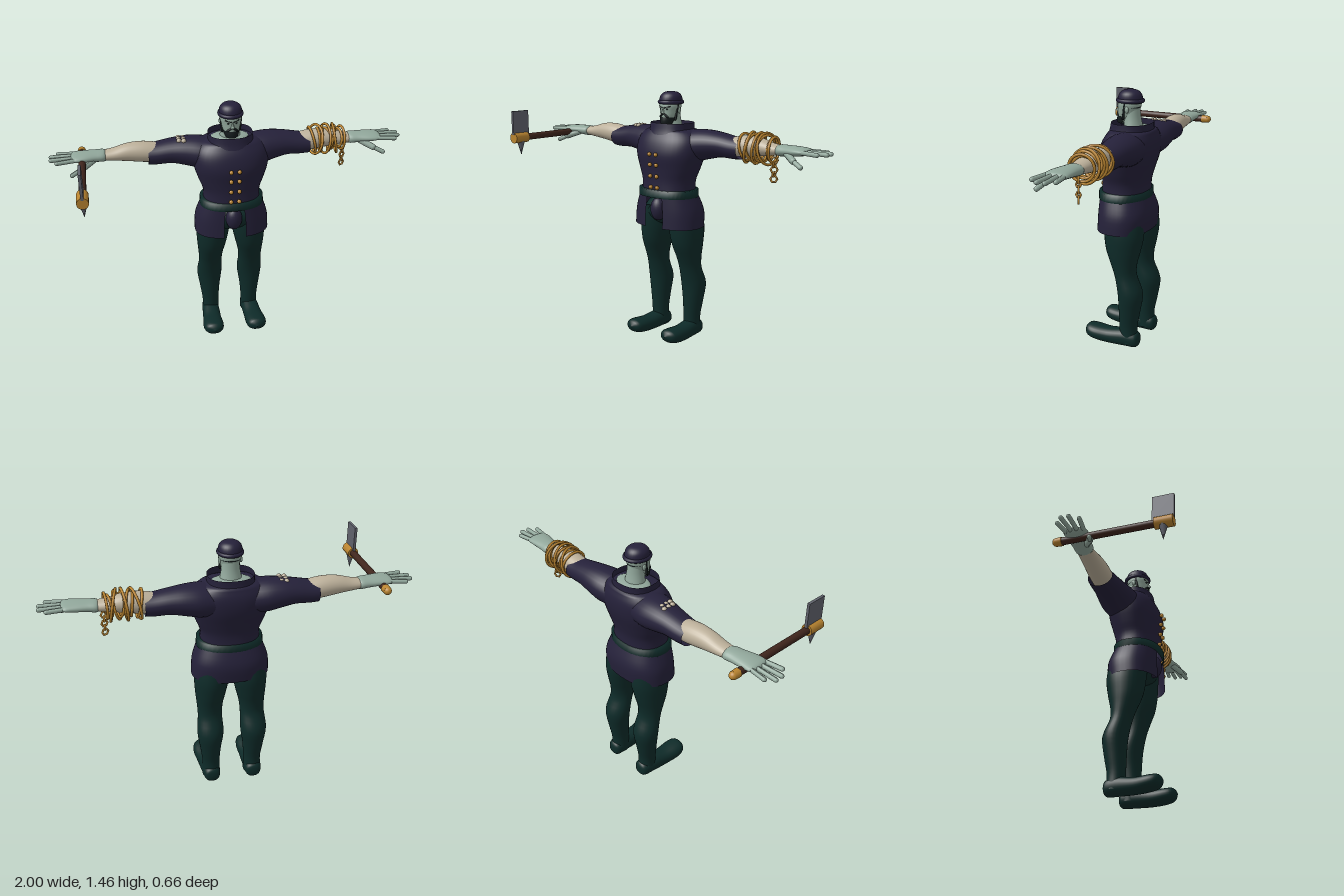
import * as THREE from 'three';

const mat = (name, color, side = THREE.FrontSide) => {
  const m = new THREE.MeshStandardMaterial({ color, side });
  m.name = name;
  return m;
};

// Skin rings [t, cA, cB, rA, rB] along an axis.
// Order of A, B: y axis -> x, z; x axis -> z, y; z axis -> y, x.
function loft(axis, rows, { power = 1, sub = 4, n = 28, from = 0, arc = Math.PI * 2 } = {}) {
  const closed = arc > 6.28, cols = closed ? n : n + 1, pos = [], idx = [];
  const rings = [];
  rows.slice(0, -1).forEach((r, i) => {
    const p = rows[Math.max(i - 1, 0)], q = rows[i + 1], s = rows[Math.min(i + 2, rows.length - 1)];
    for (let k = 0; k < sub; k++) {
      const u = k / sub;
      rings.push(r.map((b, j) => 0.5 * (2 * b + (q[j] - p[j]) * u + (2 * p[j] - 5 * b + 4 * q[j] - s[j]) * u * u
        + (3 * b - p[j] - 3 * q[j] + s[j]) * u * u * u)));
    }
  });
  rings.push(rows[rows.length - 1]);
  const bend = v => Math.sign(v) * Math.abs(v) ** power;
  for (const [t, cA, cB, rA, rB] of rings) for (let i = 0; i < cols; i++) {
    const th = from + arc * i / n;
    const a = cA + Math.max(rA, 0) * bend(Math.cos(th)), b = cB + Math.max(rB, 0) * bend(Math.sin(th));
    pos.push(...(axis === 'y' ? [a, t, b] : axis === 'x' ? [t, b, a] : [b, a, t]));
  }
  for (let r = 0; r < rings.length - 1; r++) for (let i = 0; i < n; i++) {
    const a = r * cols + i, b = r * cols + (i + 1) % cols, c = a + cols, d = b + cols;
    idx.push(a, c, b, b, c, d);
  }
  const g = new THREE.BufferGeometry();
  g.setAttribute('position', new THREE.Float32BufferAttribute(pos, 3));
  g.setIndex(idx);
  g.computeVertexNormals();
  return g;
}

// Mirror a geometry to the other side of the body
function mirror(geo) {
  const g = geo.clone().scale(-1, 1, 1), ix = g.index.array;
  for (let i = 0; i < ix.length; i += 3) [ix[i + 1], ix[i + 2]] = [ix[i + 2], ix[i + 1]];
  g.computeVertexNormals();
  return g;
}

// Round-ended rod between two points
function rod(a, b, r) {
  const A = new THREE.Vector3(...a), B = new THREE.Vector3(...b), d = B.clone().sub(A);
  const q = new THREE.Quaternion().setFromUnitVectors(new THREE.Vector3(0, 1, 0), d.clone().normalize());
  return new THREE.CapsuleGeometry(r, d.length(), 5, 10).applyQuaternion(q).translate(...A.add(B).multiplyScalar(0.5).toArray());
}

const ball = (x, y, z, rx, ry = rx, rz = rx) => new THREE.SphereGeometry(1, 20, 14).scale(rx, ry, rz).translate(x, y, z);

export function createModel() {
  const root = new THREE.Group();
  root.name = 'axeman';
  const coat = mat('navy coat', 0x25213a, THREE.DoubleSide);
  const green = mat('dark green cloth', 0x0e2b29);
  const skin = mat('pale green skin', 0x91a79b);
  const linen = mat('cream skin', 0xbcb09a);
  const gold = mat('gold', 0xb98430);
  const wood = mat('dark wood', 0x3f251c);
  const steel = mat('steel', 0x60626c);
  const hair = mat('black hair', 0x151c1d, THREE.DoubleSide);

  const add = (name, geo, m) => {
    const mesh = new THREE.Mesh(geo, m);
    mesh.name = name;
    root.add(mesh);
    return mesh;
  };
  const pair = (name, geo, m) => {
    add(name + 'Left', geo, m);
    add(name + 'Right', mirror(geo), m);
  };

  // Coat body, collar, skirt and belt
  add('coatBody', loft('y', [
    [0.87, 0, -0.14, 0.165, 0.128], [0.95, 0, -0.142, 0.163, 0.125], [1.02, 0, -0.148, 0.188, 0.135],
    [1.1, 0, -0.155, 0.212, 0.15], [1.17, 0, -0.165, 0.213, 0.145], [1.22, 0, -0.172, 0.185, 0.125],
    [1.245, 0, -0.175, 0.13, 0.1], [1.25, 0, -0.175, 0, 0]], { power: 0.88, n: 40 }), coat);
  add('collar', loft('y', [[1.205, 0, -0.165, 0.137, 0.125], [1.24, 0, -0.167, 0.127, 0.115], [1.28, 0, -0.17, 0.125, 0.11]],
    { power: 0.85, n: 40 }), coat);
  const gap = 0.24;
  add('coatSkirt', loft('y', [[0.685, 0, -0.148, 0.216, 0.148], [0.78, 0, -0.153, 0.21, 0.15], [0.87, 0, -0.14, 0.178, 0.133]],
    { power: 0.85, n: 44, from: Math.PI / 2 + gap, arc: Math.PI * 2 - 2 * gap }), coat);
  add('frontPouch', ball(0, 0.79, -0.045, 0.047, 0.068, 0.045), coat);
  add('belt', loft('y', [[0.858, 0, -0.138, 0.172, 0.128], [0.86, 0, -0.138, 0.184, 0.138],
    [0.903, 0, -0.138, 0.182, 0.138], [0.905, 0, -0.138, 0.15, 0.11]], { power: 0.88, sub: 1, n: 40 }), green);

  // Two rows of coat buttons
  [[0.92, -0.004], [0.985, 0], [1.05, 0.004], [1.11, 0.008]].forEach(([y, z]) =>
    pair('button', ball(0.023, y, z, 0.012), gold));

  // Pelvis, legs and feet
  add('pelvis', ball(0, 0.77, -0.155, 0.17, 0.09, 0.115), green);
  pair('leg', loft('y', [
    [0.03, 0.122, -0.22, 0.052, 0.054], [0.12, 0.122, -0.215, 0.05, 0.052], [0.22, 0.125, -0.222, 0.06, 0.062],
    [0.33, 0.125, -0.225, 0.075, 0.071], [0.43, 0.122, -0.195, 0.069, 0.062], [0.5, 0.12, -0.182, 0.074, 0.075],
    [0.58, 0.114, -0.175, 0.087, 0.1], [0.68, 0.106, -0.175, 0.098, 0.115], [0.8, 0.1, -0.165, 0.09, 0.11]]), green);
  pair('foot', loft('z', [
    [-0.282, 0.045, 0.122, 0, 0], [-0.27, 0.046, 0.122, 0.042, 0.042], [-0.2, 0.051, 0.125, 0.051, 0.052],
    [-0.1, 0.046, 0.13, 0.045, 0.056], [-0.02, 0.053, 0.133, 0.043, 0.062], [0.03, 0.06, 0.132, 0.034, 0.048],
    [0.053, 0.062, 0.13, 0, 0]], { power: 0.9 }), green);

  // Sleeves, forearms and hands
  pair('sleeve', loft('x', [
    [0.07, -0.18, 1.15, 0.11, 0.085], [0.17, -0.198, 1.158, 0.112, 0.09], [0.25, -0.208, 1.167, 0.1, 0.081],
    [0.33, -0.212, 1.17, 0.086, 0.068], [0.41, -0.212, 1.162, 0.078, 0.062], [0.46, -0.212, 1.16, 0.073, 0.058]]), coat);
  pair('forearm', loft('x', [
    [0.38, -0.212, 1.165, 0.062, 0.052], [0.48, -0.21, 1.177, 0.062, 0.058], [0.57, -0.208, 1.182, 0.055, 0.05],
    [0.65, -0.205, 1.177, 0.048, 0.034], [0.71, -0.202, 1.176, 0.043, 0.026]]), linen);
  pair('hand', loft('x', [
    [0.69, -0.202, 1.176, 0, 0], [0.695, -0.202, 1.176, 0.046, 0.029], [0.75, -0.197, 1.179, 0.053, 0.029],
    [0.82, -0.19, 1.182, 0.062, 0.025], [0.87, -0.19, 1.183, 0.057, 0.017], [0.885, -0.19, 1.183, 0, 0]]), skin);
  [[-0.143, -0.125, 0.955], [-0.175, -0.168, 0.987], [-0.205, -0.21, 0.988], [-0.233, -0.245, 0.95]].forEach(([z0, z1, x]) =>
    pair('finger', rod([0.85, 1.183, z0], [x, 1.181, z1], 0.012), skin));
  pair('thumbBase', rod([0.76, 1.168, -0.165], [0.825, 1.14, -0.12], 0.018), skin);
  pair('thumbTip', rod([0.825, 1.14, -0.12], [0.88, 1.115, -0.1], 0.013), skin);

  // Neck and head
  add('shouldersInCollar', ball(0, 1.245, -0.185, 0.108, 0.02, 0.075), skin);
  add('neck', loft('y', [[1.23, 0, -0.178, 0.065, 0.055], [1.3, 0, -0.17, 0.05, 0.046], [1.36, 0, -0.165, 0.046, 0.045]]), skin);
  add('head', loft('y', [
    [1.272, 0, -0.128, 0, 0], [1.282, 0, -0.13, 0.03, 0.036], [1.31, 0, -0.142, 0.046, 0.055],
    [1.345, 0, -0.148, 0.055, 0.061], [1.39, 0, -0.152, 0.057, 0.062], [1.42, 0, -0.152, 0, 0]]), skin);
  const nose = new THREE.ConeGeometry(0.012, 0.036, 4).scale(1, 1, 1.1).rotateX(-0.25).translate(0, 1.35, -0.084);
  add('nose', nose, skin);
  pair('ear', ball(0.057, 1.35, -0.16, 0.008, 0.018, 0.012), skin);

  // Beard, moustache, brows, eyes and hair
  add('beard', loft('y', [
    [1.262, 0, -0.118, 0, 0], [1.27, 0, -0.12, 0.03, 0.034], [1.29, 0, -0.13, 0.041, 0.05], [1.312, 0, -0.142, 0.05, 0.059]],
    { from: 0, arc: Math.PI }), hair);
  pair('sideburn', rod([0.049, 1.3, -0.135], [0.056, 1.385, -0.148], 0.007).scale(1, 1, 1), hair);
  pair('moustache', rod([0.005, 1.331, -0.086], [0.026, 1.314, -0.093], 0.006), hair);
  pair('brow', rod([0.008, 1.366, -0.087], [0.036, 1.373, -0.099], 0.004), hair);
  pair('eye', ball(0.022, 1.358, -0.092, 0.007, 0.004, 0.004), hair);
  add('backHair', loft('y', [[1.358, 0, -0.152, 0.057, 0.062], [1.392, 0, -0.153, 0.06, 0.066]],
    { from: Math.PI, arc: Math.PI }), hair);

  // Cap with rolled brim
  add('cap', loft('y', [
    [1.385, 0, -0.155, 0.06, 0.066], [1.405, 0, -0.155, 0.064, 0.069], [1.432, 0, -0.155, 0.058, 0.06],
    [1.45, 0, -0.155, 0.036, 0.038], [1.456, 0, -0.155, 0, 0]]), coat);
  add('capBrim', new THREE.TorusGeometry(0.063, 0.009, 10, 32).rotateX(Math.PI / 2).scale(1, 1.2, 1.12).translate(0, 1.395, -0.155), coat);

  // Cream knobs on the right shoulder
  for (let i = 0; i < 3; i++) for (let j = 0; j < 2; j++)
    add('shoulderKnob', ball(-0.26 - 0.026 * j, 1.24 - 0.002 * i, -0.17 - 0.028 * i - 0.008 * j, 0.014), linen);

  // Rope coiled round the left forearm
  for (let i = 0; i < 10; i++) {
    const r = 0.074 + 0.012 * Math.sin(i * 2.1) - (i > 7 ? 0.008 : 0);
    add('ropeCoil', new THREE.TorusGeometry(r, 0.0075, 8, 32).rotateY(Math.PI / 2 + 0.25 * Math.sin(i * 1.7))
      .rotateZ(0.22 * Math.cos(i * 2.6)).translate(0.485 + i * 0.019, 1.174, -0.211), gold);
  }

  // Hanging chain
  for (let i = 0; i < 5; i++)
    add('chainLink', new THREE.TorusGeometry(i % 2 ? 0.013 : 0.018, 0.006, 6, 6).rotateY(i % 2 ? Math.PI / 2 : 0.5)
      .translate(0.668, 1.12 - i * 0.025, -0.2), gold);

  // Axe in the right hand
  const ax = -0.822, ay = 1.165;
  const alongZ = (r0, r1, z0, z1) => new THREE.CylinderGeometry(r1, r0, z1 - z0, 20).rotateX(Math.PI / 2).translate(ax, ay, (z0 + z1) / 2);
  add('axeHandle', alongZ(0.02, 0.02, -0.3, 0.24), wood);
  add('axePommel', alongZ(0.022, 0.024, -0.31, -0.275), gold);
  add('axePommelEnd', ball(ax, ay, -0.308, 0.022), gold);
  add('axeSocket', alongZ(0.031, 0.031, 0.225, 0.325), gold);
  add('axeBlade', new THREE.BoxGeometry(0.015, 0.14, 0.117).translate(ax, 1.255, 0.27), steel);
  add('axeSpike', new THREE.ConeGeometry(0.024, 0.085, 8).rotateX(Math.PI).translate(ax, 1.102, 0.27), steel);

  return root;
}
